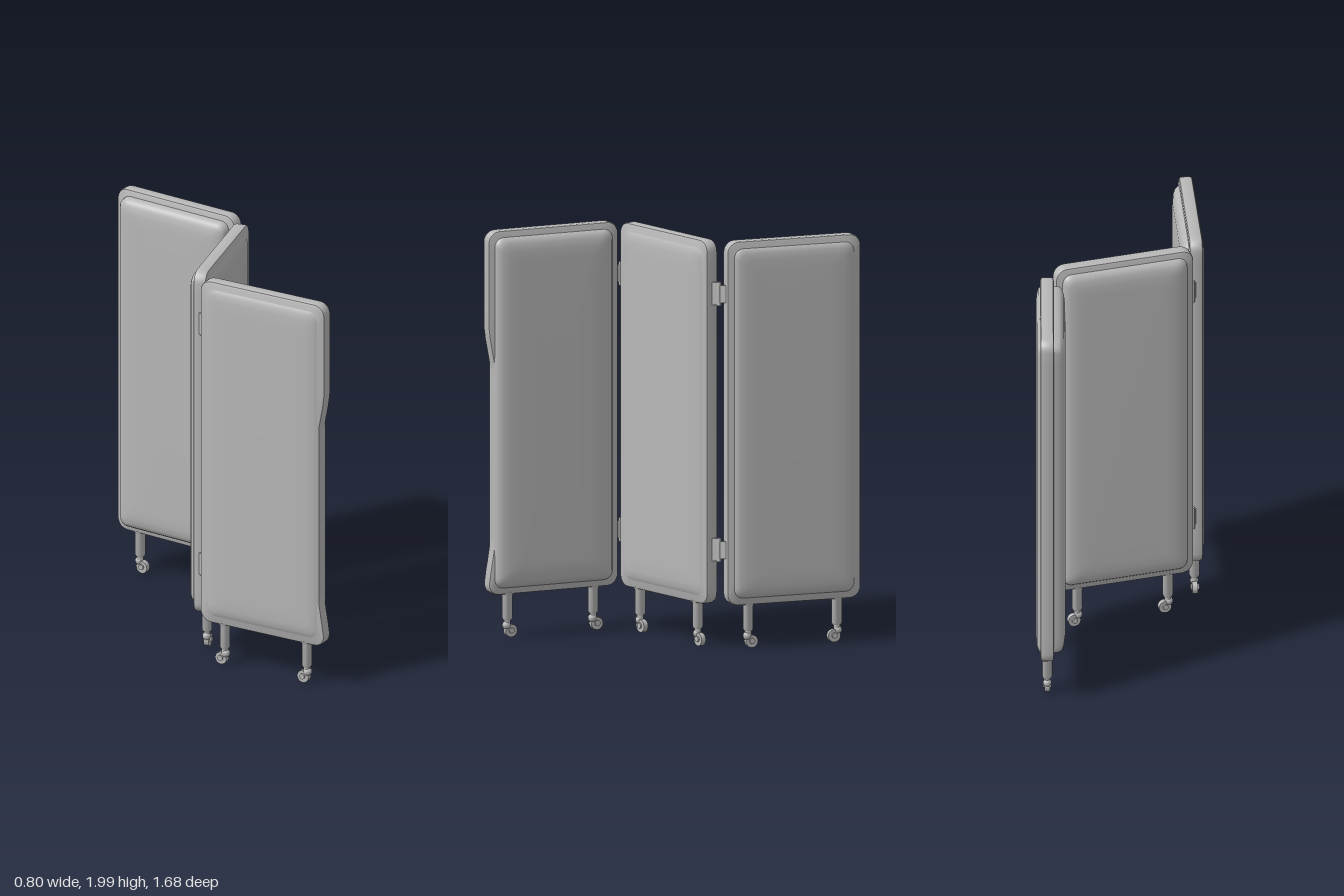
import * as THREE from 'three';
import { toCreasedNormals } from 'three/addons/utils/BufferGeometryUtils.js';

const BOTTOM = 0.215, TOP = 1.992;
const HEIGHT = TOP - BOTTOM, MID_Y = (TOP + BOTTOM) / 2;

// Rounded rectangle, counter-clockwise, with subdivided long sides
function outline(width, height, radius) {
  const pts = [], hw = width / 2 - radius, hh = height / 2 - radius;
  const corners = [[hw, hh], [-hw, hh], [-hw, -hh], [hw, -hh]];
  corners.forEach(([cx, cy], k) => {
    for (let i = 0; i <= 6; i++) {
      const a = (k + i / 6) * Math.PI / 2;
      pts.push([cx + radius * Math.cos(a), cy + radius * Math.sin(a)]);
    }
    const end = pts[pts.length - 1];
    const [nx, ny] = corners[(k + 1) % 4];
    const a = (k + 1) * Math.PI / 2;
    const next = [nx + radius * Math.cos(a), ny + radius * Math.sin(a)];
    for (let i = 1; i < 28; i++) {
      const t = i / 28;
      pts.push([end[0] + (next[0] - end[0]) * t, end[1] + (next[1] - end[1]) * t]);
    }
  });
  return pts;
}

// Closed slab lofted through rings of [inset, depth]
function slab(width, rings, crease) {
  const pos = [], idx = [];
  let n = 0;
  for (const [inset, z] of rings) {
    const ring = outline(width - 2 * inset, HEIGHT - 2 * inset, Math.max(0.055 - inset * 0.3, 0.03));
    n = ring.length;
    for (const [x, y] of ring) pos.push(x, y, z);
  }
  const last = (rings.length - 1) * n, c0 = rings.length * n, c1 = c0 + 1;
  pos.push(0, 0, rings[0][1], 0, 0, rings[rings.length - 1][1]);
  for (let i = 0; i < n; i++) {
    const j = (i + 1) % n;
    for (let r = 0; r < last; r += n) {
      idx.push(r + i, r + j, r + n + j, r + i, r + n + j, r + n + i);
    }
    idx.push(c0, j, i, c1, last + i, last + j);
  }
  const geo = new THREE.BufferGeometry();
  geo.setAttribute('position', new THREE.Float32BufferAttribute(pos, 3));
  geo.setIndex(idx);
  geo.translate(0, MID_Y, 0);
  return { geo, finish: () => toCreasedNormals(geo, crease) };
}

// Pull the outer edge of a frame inwards along its middle height
function dentEdge(geo, width) {
  const p = geo.attributes.position;
  for (let i = 0; i < p.count; i++) {
    const y = p.getY(i), x = p.getX(i);
    if (x > -width / 2 + 0.06) continue;
    const s = THREE.MathUtils.smoothstep;
    p.setX(i, x + 0.035 * s(y, 0.22, 0.52) * (1 - s(y, 1.28, 1.54)));
  }
}

export function createModel() {
  const model = new THREE.Group();
  model.name = 'foldingScreen';
  const grey = new THREE.MeshStandardMaterial({ color: 0xb8b8b8 });
  grey.name = 'grey';

  const add = (parent, name, geo, x = 0, y = 0, z = 0) => {
    const mesh = new THREE.Mesh(geo, grey);
    mesh.name = name;
    mesh.position.set(x, y, z);
    parent.add(mesh);
    return mesh;
  };

  // Leg with a swivel caster; trail is the side the wheel leans to
  function addLeg(parent, x, trail) {
    const leg = new THREE.Group();
    leg.name = 'leg';
    leg.position.x = x;
    parent.add(leg);
    const post = [[0, 0.085], [0.02, 0.085], [0.025, 0.095], [0.025, 0.205], [0.034, 0.225], [0, 0.225]];
    add(leg, 'post', toCreasedNormals(new THREE.LatheGeometry(post.map(([r, y]) => new THREE.Vector2(r, y)), 16), 0.6));
    add(leg, 'casterStem', new THREE.CylinderGeometry(0.016, 0.016, 0.04, 12), 0, 0.073);
    add(leg, 'casterNeck', new THREE.SphereGeometry(0.021, 12, 8), -trail * 0.005, 0.06);
    const wheel = add(leg, 'wheel', new THREE.CylinderGeometry(0.031, 0.031, 0.026, 20), trail * 0.016, 0.033);
    wheel.rotation.x = Math.PI / 2;
    const hub = add(leg, 'wheelHub', new THREE.CylinderGeometry(0.014, 0.014, 0.042, 12), trail * 0.016, 0.035);
    hub.rotation.x = Math.PI / 2;
  }

  // Panel from end p to end q in plan; its thick padding faces local +z
  function addPanel(name, p, q, thin, thick, trails, dented) {
    const dx = q[0] - p[0], dz = q[1] - p[1], width = Math.hypot(dx, dz);
    const panel = new THREE.Group();
    panel.name = name;
    panel.position.set((p[0] + q[0]) / 2, 0, (p[1] + q[1]) / 2);
    panel.rotation.y = Math.atan2(-dz, dx);
    model.add(panel);

    const frame = slab(width, [[0.012, -0.033], [0.003, -0.029], [0, -0.02], [0, 0.02], [0.003, 0.029], [0.012, 0.033]], 0.7);
    if (dented) dentEdge(frame.geo, width);
    add(panel, 'frame', frame.finish());

    const cushion = slab(width, [
      [0.15, -thin], [0.09, -thin + 0.001], [0.06, -thin + 0.005], [0.042, -thin + 0.012], [0.032, -0.028],
      [0.032, 0.03], [0.035, thick - 0.03], [0.045, thick - 0.016], [0.065, thick - 0.007],
      [0.1, thick - 0.001], [0.15, thick]], 0.9);
    add(panel, 'cushion', cushion.finish());

    addLeg(panel, -0.23, trails[0]);
    addLeg(panel, 0.225, trails[1]);
  }

  addPanel('rightPanel', [-0.30, 0.835], [-0.367, 0.15], 0.046, 0.07, [1, 1], true);
  addPanel('middlePanel', [0.312, -0.102], [-0.345, 0.11], 0.046, 0.072, [-1, -1], false);
  addPanel('leftPanel', [0.333, -0.84], [0.346, -0.155], 0.054, 0.088, [1, -1], false);

  // Hinges: two leaves and a barrel bridging neighbouring panels
  function addHinge(a, b, y) {
    const hinge = new THREE.Group();
    hinge.name = 'hinge';
    const dx = b[0] - a[0], dz = b[1] - a[1], len = Math.hypot(dx, dz);
    hinge.position.set((a[0] + b[0]) / 2, y, (a[1] + b[1]) / 2);
    hinge.rotation.y = Math.atan2(-dz, dx);
    model.add(hinge);
    for (const s of [-1, 1]) {
      add(hinge, 'hingeLeaf', new THREE.BoxGeometry(len / 2, s < 0 ? 0.11 : 0.085, 0.014), s * len / 4);
    }
    add(hinge, 'hingeBarrel', new THREE.CylinderGeometry(0.011, 0.011, 0.115, 12));
  }
  for (const y of [0.485, 1.735]) {
    addHinge([0.302, -0.098], [0.356, -0.162], y);
    addHinge([-0.335, 0.1], [-0.362, 0.16], y);
  }
  return model;
}
